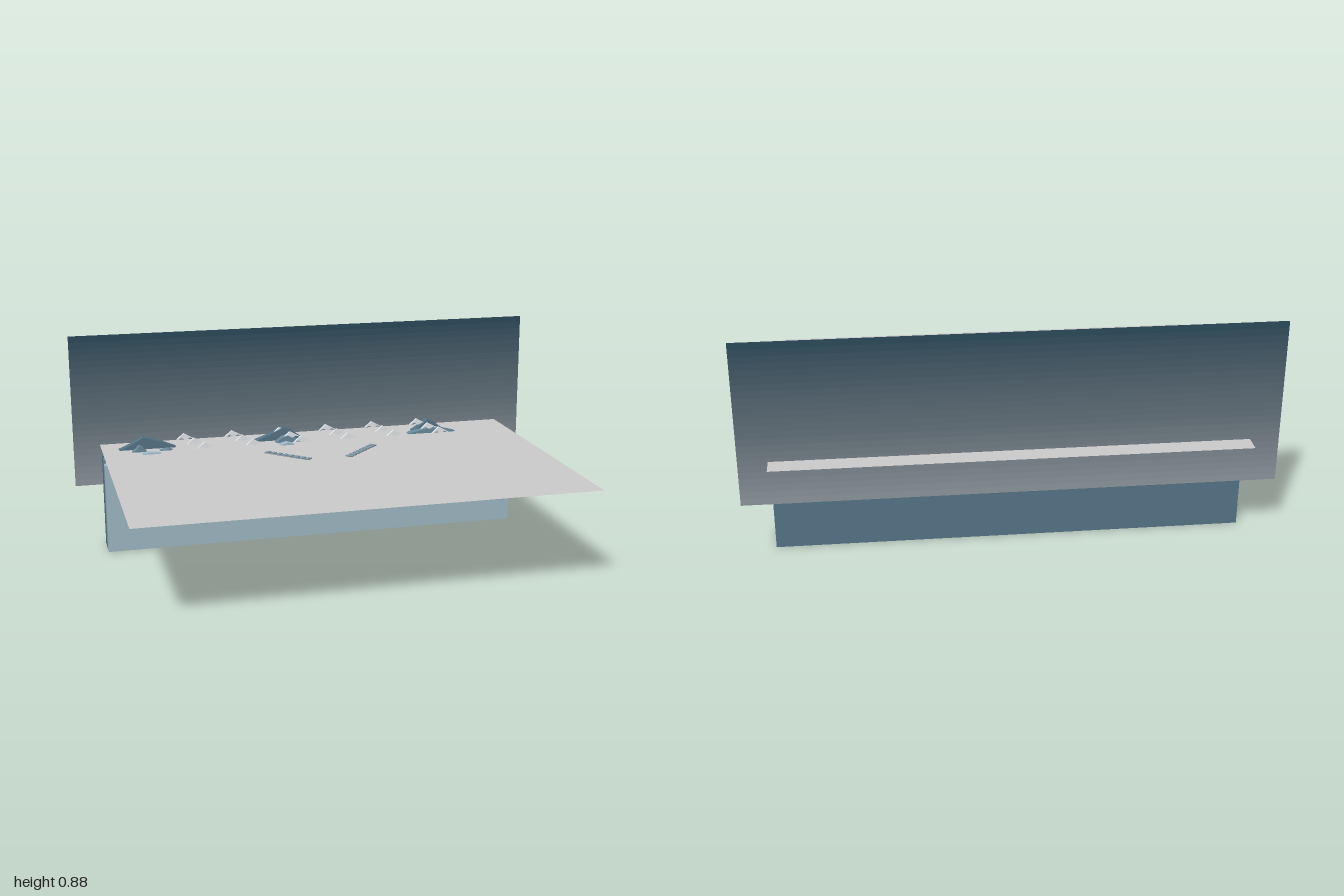
import * as THREE from 'three';

const mat = (color, side = THREE.FrontSide) =>
  new THREE.MeshStandardMaterial({ color, side, flatShading: true });

function add(parent, name, geometry, material, x = 0, y = 0, z = 0) {
  const m = new THREE.Mesh(geometry, material);
  m.name = name;
  m.position.set(x, y, z);
  parent.add(m);
  return m;
}

// Upright silhouette given as [x, y] points, extruded forward along z
function slab(points, depth) {
  const shape = new THREE.Shape(points.map(p => new THREE.Vector2(p[0], p[1])));
  return new THREE.ExtrudeGeometry(shape, { depth, bevelEnabled: false });
}

// Rugged ridge: each slope between two key points gets a small shoulder halfway
function ridge(keys, depth) {
  const line = [keys[0]];
  for (let i = 1; i < keys.length; i++) {
    const [ax, ay] = keys[i - 1], [bx, by] = keys[i];
    line.push([(ax + bx) / 2, (ay + by) / 2 + (i % 2 ? 0.005 : -0.004)], keys[i]);
  }
  return slab([[-0.89, 0], [0.89, 0], ...line.reverse()], depth);
}

export function createModel() {
  const root = new THREE.Group();
  root.name = 'mountainDiorama';

  // Sky backdrop: thin strips fading from dark top to pale bottom
  const sky = new THREE.Group();
  sky.name = 'skyBackdrop';
  root.add(sky);
  const pale = new THREE.Color(0x8e979e), mid = new THREE.Color(0x66747d), dark = new THREE.Color(0x28485a);
  const strips = 24, y0 = 0.235, h = 0.645 / strips;
  for (let i = 0; i < strips; i++) {
    const t = (i + 0.5) / strips;
    const c = t < 0.4 ? pale.clone().lerp(mid, t / 0.4) : mid.clone().lerp(dark, (t - 0.4) / 0.6);
    add(sky, 'skyStrip', new THREE.PlaneGeometry(2, h), mat(c, THREE.DoubleSide), 0, y0 + (i + 0.5) * h, -0.535);
  }

  // Flat sheet crossing the ridges
  const sheet = add(root, 'waterSheet', new THREE.PlaneGeometry(1.78, 1.22), mat(0xcccccc, THREE.DoubleSide), 0, 0.41, 0);
  sheet.rotation.x = -Math.PI / 2;

  // Three layered mountain ridges
  add(root, 'farRidge', ridge([[-0.89, 0.39], [-0.82, 0.41], [-0.72, 0.46], [-0.57, 0.405], [-0.4, 0.36], [-0.25, 0.41],
    [-0.12, 0.465], [-0.03, 0.41], [0.2, 0.355], [0.46, 0.41], [0.53, 0.46], [0.61, 0.41], [0.89, 0.36]], 0.035),
  mat(0x567486), 0, 0, -0.45);
  add(root, 'middleRidge', ridge([[-0.89, 0.385], [-0.77, 0.41], [-0.74, 0.435], [-0.71, 0.41], [-0.62, 0.415], [-0.4, 0.345],
    [-0.16, 0.41], [-0.11, 0.44], [-0.04, 0.41], [0.22, 0.325], [0.44, 0.415], [0.57, 0.43], [0.89, 0.355]], 0.033),
  mat(0x6b8a9a), 0, 0, -0.405);
  add(root, 'nearRidge', ridge([[-0.89, 0.37], [-0.84, 0.395], [-0.71, 0.415], [-0.6, 0.395], [-0.38, 0.33],
    [-0.12, 0.42], [0.06, 0.37], [0.22, 0.315], [0.44, 0.395], [0.6, 0.395], [0.89, 0.318]], 0.035),
  mat(0x9fb9c5), 0, 0, -0.363);

  // Snow caps: six per row, each row stepped right, forward and down
  const cap = slab([[-0.038, 0], [-0.018, 0.007], [0, -0.002], [0.018, 0.007], [0.038, 0], [-0.008, 0.026]], 0.012);
  const snow = mat(0xe4e8ea);
  for (let row = 0; row < 3; row++)
    for (let i = 0; i < 6; i++)
      add(root, 'snowCap', cap, snow, -0.54 + i * 0.206 + row * 0.037, 0.439 - row * 0.01, -0.433 + row * 0.045);

  // Line of small fir trees
  let seed = 7;
  const rnd = () => (seed = (seed * 16807) % 2147483647) / 2147483647;
  const fir = mat(0x16262b);
  for (let i = 0; i < 36; i++) {
    const th = 0.024 + rnd() * 0.01;
    add(root, 'firTree', new THREE.ConeGeometry(0.008, th, 6), fir,
      -0.475 + i * 0.0272, 0.326 + th / 2, -0.27 + (rnd() - 0.5) * 0.025);
  }

  // Cabin with a pale roof
  const wall = mat(0x46545e);
  add(root, 'cabinBody', new THREE.BoxGeometry(0.065, 0.052, 0.044), wall, 0.185, 0.351, -0.198);
  add(root, 'cabinRoof', slab([[-0.038, 0], [0.038, 0], [0.025, 0.017], [-0.025, 0.017]], 0.05), mat(0x9aa4a8), 0.185, 0.378, -0.223);

  // Row of low huts with lit windows
  const lit = mat(0xb5a565);
  for (let i = 0; i < 5; i++) {
    const x = -0.22 + i * 0.042;
    add(root, 'hutBody', new THREE.BoxGeometry(0.036, 0.026, 0.03), wall, x, 0.34, -0.2);
    for (const s of [-1, 1])
      add(root, 'hutWindow', new THREE.BoxGeometry(0.009, 0.009, 0.002), lit, x + s * 0.009, 0.342, -0.1845);
  }

  // Two slanting rows of tiled blocks, mirrored left and right
  for (const s of [-1, 1]) {
    const row = new THREE.Group();
    row.name = s > 0 ? 'leftTileRow' : 'rightTileRow';
    row.position.set(s * 0.157, 0, -0.163);
    row.rotation.y = s * Math.PI / 4;
    root.add(row);
    add(row, 'tileBase', new THREE.BoxGeometry(0.215, 0.012, 0.022), mat(0x6f8592), 0, 0.406, 0);
    for (let i = 0; i < 8; i++)
      add(row, 'tile', new THREE.BoxGeometry(0.017, 0.014, 0.029), mat(0x8399a6), (i - 3.5) * 0.028, 0.407, 0);
  }
  return root;
}
